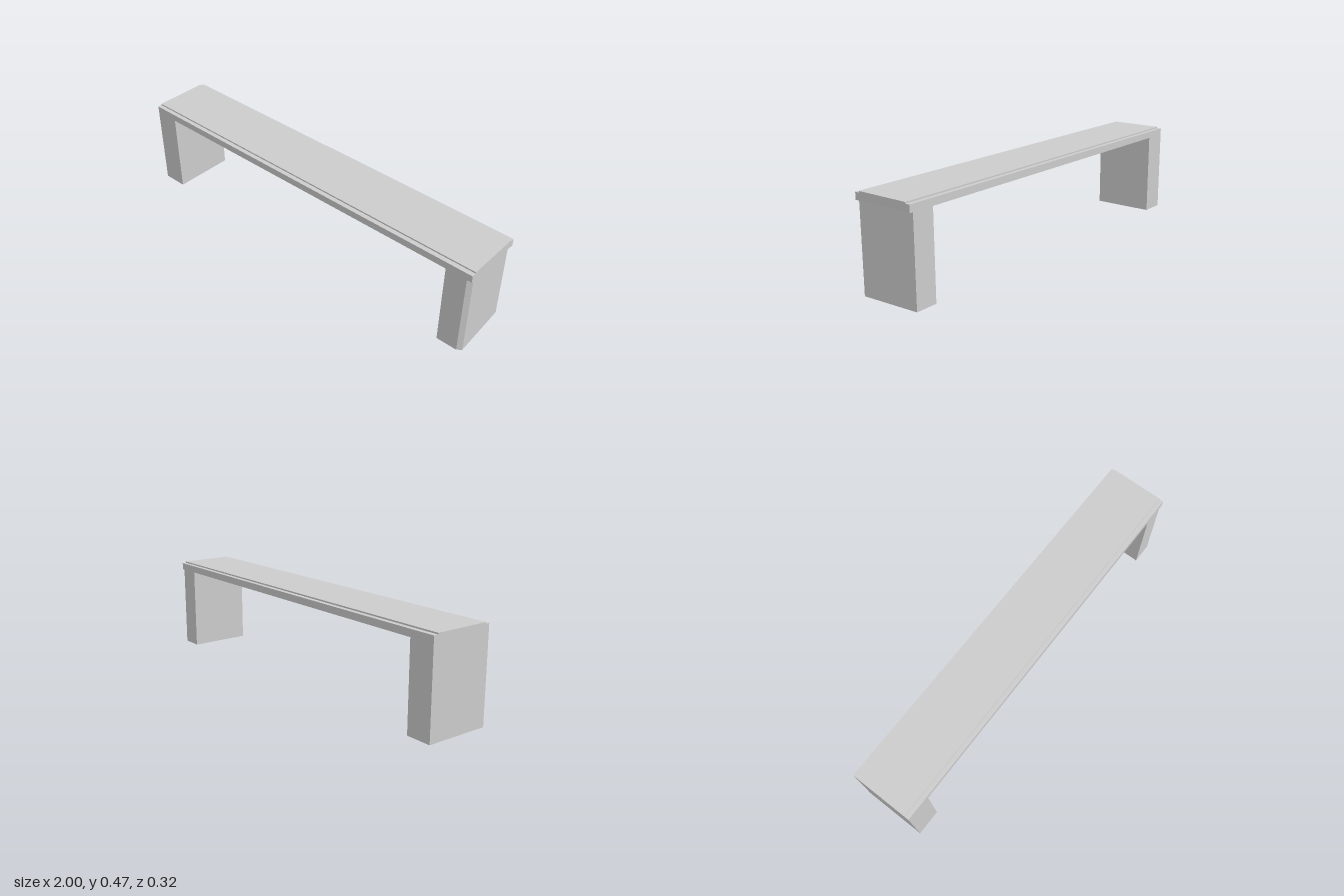
import * as THREE from 'three';

const material = new THREE.MeshStandardMaterial({ color: 0xcccccc, flatShading: true });

// Prism rising from y0 to y1 over a floor plan of [x, z] corners
function prism(name, plan, y0, y1) {
  const shape = new THREE.Shape(plan.map(([x, z]) => new THREE.Vector2(x, -z)));
  const geometry = new THREE.ExtrudeGeometry(shape, { depth: y1 - y0, bevelEnabled: false });
  geometry.rotateX(-Math.PI / 2).translate(0, y0, 0);
  const mesh = new THREE.Mesh(geometry, material);
  mesh.name = name;
  return mesh;
}

export function createModel() {
  const group = new THREE.Group();
  group.name = 'bench';
  const legTop = 0.425, slabTop = 0.46, top = 0.467;
  const back = -0.162;

  // Seat slab, its front edge running slightly out of square
  group.add(prism('seatSlab', [[-1, 0.162], [1, 0.155], [1, back], [-1, back]], legTop, slabTop));

  // Thin raised panel, set in from the front and back edges
  group.add(prism('seatPanel', [[-1, 0.14], [1, 0.132], [1, -0.14], [-1, -0.138]], slabTop, top));

  // Right leg, flush with the slab
  group.add(prism('rightLeg', [[-1, 0.162], [-0.87, 0.1615], [-0.87, back], [-1, back]], 0, legTop));

  // Left leg, with a cut front corner and an outer face that tapers inward to the back
  group.add(prism('leftLeg',
    [[0.87, 0.1555], [0.976, 0.155], [0.997, 0.137], [0.982, back], [0.87, back]], 0, legTop));

  return group;
}
